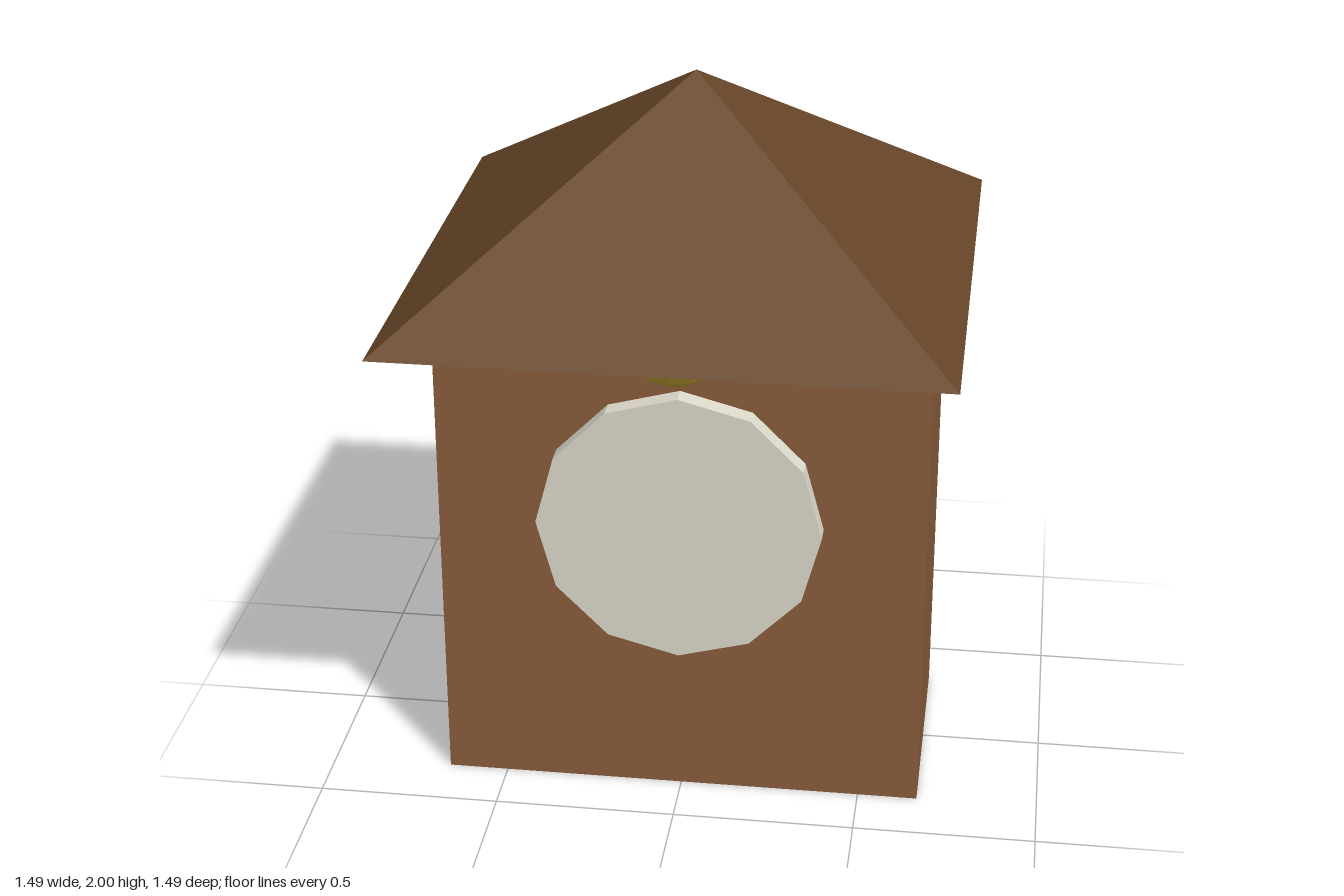
import * as THREE from 'three';

const material = (name, color) => {
  const m = new THREE.MeshStandardMaterial({ color, flatShading: true });
  m.name = name;
  return m;
};

export function createModel() {
  const group = new THREE.Group();
  group.name = 'clockHouse';
  const add = (name, geometry, mat, x, y, z) => {
    const mesh = new THREE.Mesh(geometry, mat);
    mesh.name = name;
    mesh.position.set(x, y, z);
    group.add(mesh);
    return mesh;
  };

  const bodyWood = material('bodyWood', 0x8b5e3c);
  const roofWood = material('roofWood', 0x664528);
  const ivory = material('ivory', 0xdedbcc);
  const brass = material('brass', 0xd4af37);

  // Shallow case, standing on the ground
  add('body', new THREE.BoxGeometry(1.332, 1.45, 0.666), bodyWood, 0, 0.725, 0);

  // Square pyramid roof with wide eaves
  const roofHalf = 0.745, roofHeight = 0.55;
  const roof = new THREE.ConeGeometry(roofHalf * Math.SQRT2, roofHeight, 4).rotateY(Math.PI / 4);
  add('roof', roof, roofWood, 0, 1.45 + roofHeight / 2, 0);

  // Twelve-sided dial set into the front
  const dial = new THREE.CylinderGeometry(0.388, 0.388, 0.112, 12).rotateX(Math.PI / 2);
  add('dial', dial, ivory, 0, 0.835, 0.333);

  // Stretched brass knob tucked under the eave
  const knob = new THREE.SphereGeometry(1, 12, 10).scale(0.135, 0.11, 0.166);
  add('knob', knob, brass, 0, 1.393, 0.389);

  return group;
}
